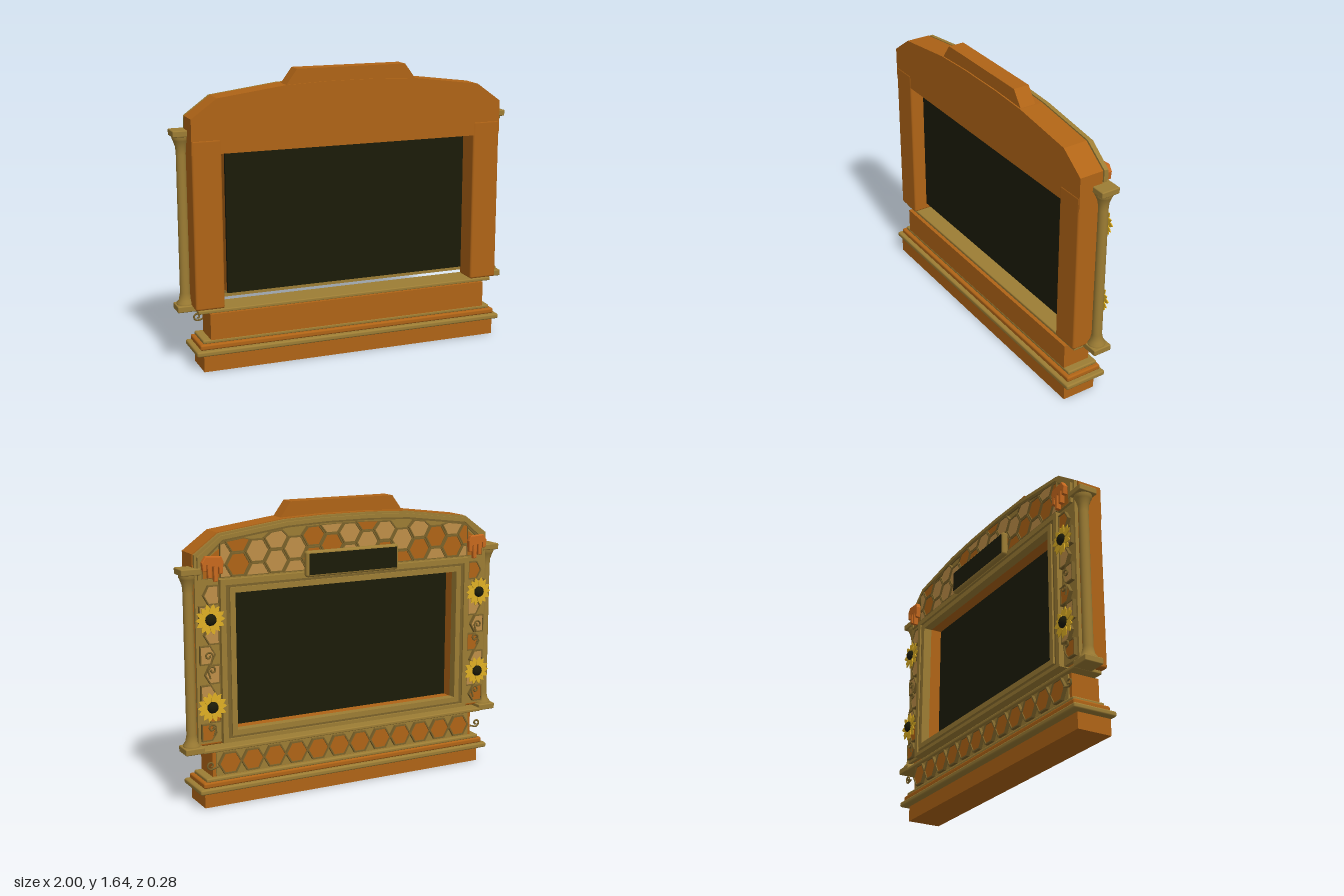
import * as THREE from 'three';
import { RoundedBoxGeometry } from 'three/addons/geometries/RoundedBoxGeometry.js';

const mat = (name, color) => {
  const m = new THREE.MeshStandardMaterial({ color });
  m.name = name;
  return m;
};

export function createModel() {
  const root = new THREE.Group();
  const wood = mat('orange wood', 0xb06416);
  const gold = mat('dull gold', 0x9d7d34);
  const darkGold = mat('dark gold', 0x7c632a);
  const honey = mat('pale honey', 0xbf8f48);
  const screenMat = mat('dark screen', 0x1b1b08);
  const petalMat = mat('petal yellow', 0xe0b024);
  const dripMat = mat('drip orange', 0xc8691e);

  const add = (name, geo, m, x = 0, y = 0, z = 0, parent = root) => {
    const mesh = new THREE.Mesh(geo, m);
    mesh.name = name;
    mesh.position.set(x, y, z);
    parent.add(mesh);
    return mesh;
  };
  // Box given by its limits
  const box = (name, m, x0, x1, y0, y1, z0, z1, r = 0) => {
    const s = [x1 - x0, y1 - y0, z1 - z0];
    const g = r ? new RoundedBoxGeometry(...s, 2, r) : new THREE.BoxGeometry(...s);
    return add(name, g, m, (x0 + x1) / 2, (y0 + y1) / 2, (z0 + z1) / 2);
  };
  const poly = (pts) => new THREE.Shape(pts.map((p) => new THREE.Vector2(p[0], p[1])));
  const slab = (name, shape, m, z0, z1) =>
    add(name, new THREE.ExtrudeGeometry(shape, { depth: z1 - z0, bevelEnabled: false }), m, 0, 0, z0);
  const rect = (w, y0, y1) => [[-w, y0], [w, y0], [w, y1], [-w, y1]];
  const ring = (name, m, outer, inner, z0, z1) => {
    const s = poly(outer);
    s.holes.push(poly(inner));
    return slab(name, s, m, z0, z1);
  };

  // Stepped base
  box('plinth', wood, -0.89, 0.89, 0, 0.095, -0.07, 0.13);
  box('lowerMoulding', gold, -0.93, 0.93, 0.09, 0.12, -0.115, 0.14, 0.01);
  box('middleMoulding', wood, -0.905, 0.905, 0.12, 0.152, -0.1, 0.12, 0.01);
  box('upperMoulding', gold, -0.885, 0.885, 0.15, 0.172, -0.09, 0.1, 0.008);
  box('baseBlock', wood, -0.84, 0.84, 0.17, 0.318, -0.065, 0.1);
  box('sill', gold, -0.9, 0.9, 0.316, 0.336, -0.09, 0.08, 0.006);

  // Cabinet with arched head and crown
  const arch = [[0.92, 1.405], [0.775, 1.51], [0.39, 1.56], [0.15, 1.57]];
  const archLine = (inset) => [
    ...arch.map(([x, y]) => [x - (x > 0.9 ? inset : inset * 0.4), y - inset]),
    ...arch.map(([x, y]) => [-x + (x > 0.9 ? inset : inset * 0.4), y - inset]).reverse(),
  ];
  slab('archedHead', poly([[-0.92, 1.21], [0.92, 1.21], ...archLine(0)]), wood, -0.04, 0.1);
  slab('crown', poly([[-0.39, 1.55], [0.39, 1.55], [0.32, 1.645], [-0.32, 1.645]]), wood, 0.0, 0.092);
  for (const s of [-1, 1]) {
    const p = box('sidePanel', wood, 0.755, 0.92, 0.345, 1.29, -0.04, 0.102, 0.012);
    p.position.x *= s;
  }

  // Ornate face, back plate and arch border
  const opening = rect(0.72, 0.41, 1.21);
  ring('backPlate', gold, [[-0.92, 0.37], [0.92, 0.37], ...archLine(0.002)], opening, -0.07, -0.05);
  ring('archBorder', gold,
    [[-0.905, 1.27], [0.905, 1.27], ...archLine(0.014)],
    [[-0.885, 1.272], [0.885, 1.272], ...archLine(0.034)], -0.086, -0.07);
  ring('archBead', darkGold,
    [[-0.887, 1.272], [0.887, 1.272], ...archLine(0.032)],
    [[-0.875, 1.275], [0.875, 1.275], ...archLine(0.045)], -0.079, -0.07);
  for (const s of [-1, 1]) {
    const corner = poly([[0.775, 1.275], [0.872, 1.275], [0.872, 1.36], [0.775, 1.43]].map(([x, y]) => [s * x, y]));
    slab('cornerPanel', corner, wood, -0.075, -0.068);
  }

  // Screen, reveal and stepped frame
  box('screen', screenMat, -0.72, 0.72, 0.41, 1.21, 0.02, 0.04);
  ring('reveal', wood, rect(0.719, 0.411, 1.209), rect(0.705, 0.425, 1.195), -0.075, 0.02);
  ring('outerFrame', gold, rect(0.785, 0.365, 1.265), rect(0.755, 0.385, 1.235), -0.1, -0.045);
  ring('middleFrame', darkGold, rect(0.756, 0.384, 1.236), rect(0.73, 0.4, 1.22), -0.09, -0.045);
  ring('innerFrame', gold, rect(0.731, 0.4, 1.22), rect(0.7, 0.43, 1.19), -0.1, -0.05);

  // Honeycomb tiles, trimmed to the field they fill
  const headHeight = (x) => {
    const a = Math.abs(x);
    const pts = [[0.92, 1.405], [0.775, 1.51], [0.39, 1.56], [0, 1.57]];
    for (let i = 0; i < 3; i++) {
      const [xa, ya] = pts[i], [xb, yb] = pts[i + 1];
      if (a >= xb) return ya + ((yb - ya) * (xa - a)) / (xa - xb);
    }
    return 1.57;
  };
  let seed = 7;
  const rand = () => (seed = (seed * 16807) % 2147483647) / 2147483647;
  const tile = (cx, cy, r, paleShare, [x0, x1, y0, top]) => {
    const pts = [];
    for (let i = 0; i < 6; i++) {
      const a = (i * Math.PI) / 3;
      const x = THREE.MathUtils.clamp(cx + r * Math.cos(a), x0, x1);
      pts.push([x, THREE.MathUtils.clamp(cy + r * Math.sin(a), y0, top(x))]);
    }
    const size = (k) => Math.max(...pts.map((p) => p[k])) - Math.min(...pts.map((p) => p[k]));
    const face = rand() < paleShare ? honey : wood;
    if (size(0) < 0.05 || size(1) < 0.05) return;
    const mx = pts.reduce((s, p) => s + p[0], 0) / 6, my = pts.reduce((s, p) => s + p[1], 0) / 6;
    const scaled = (k) => pts.map(([x, y]) => [mx + (x - mx) * k, my + (y - my) * k]);
    ring('honeycombRim', darkGold, scaled(0.98), scaled(0.85), -0.09, -0.07);
    slab('honeycombTile', poly(scaled(0.84)), face, -0.085, -0.07);
  };
  const headField = [-0.78, 0.78, 1.275, (x) => headHeight(x) - 0.047];
  const r = 0.075;
  for (let c = -7; c <= 7; c++) {
    for (let j = 0; j < 3; j++) {
      tile(c * 1.5 * r, 1.21 + (j + (c & 1) / 2) * Math.sqrt(3) * r, r, 0.68, headField);
    }
  }
  for (const s of [-1, 1]) {
    const lim = s > 0 ? [0.79, 0.905, 0.385, () => 1.26] : [-0.905, -0.79, 0.385, () => 1.26];
    for (let j = 0; j < 8; j++) {
      tile(s * (j % 2 ? 0.82 : 0.875), 0.43 + j * 0.108, 0.062, 0.5, lim);
    }
  }
  box('lowerTileBacking', gold, -0.82, 0.82, 0.175, 0.316, -0.072, -0.064);
  for (let i = 0; i < 12; i++) {
    tile(-0.7425 + i * 0.135, 0.246, 0.072, 0.15, [-0.83, 0.83, 0.175, () => 0.315]);
  }

  // Plaque over the screen
  box('plaqueFrame', gold, -0.29, 0.29, 1.24, 1.385, -0.13, -0.09, 0.015);
  box('plaqueFace', screenMat, -0.275, 0.275, 1.254, 1.371, -0.133, -0.125);

  // Columns, sunflowers, drips and tendrils, mirrored
  const shaft = new THREE.LatheGeometry(
    [[0.048, 0.35], [0.048, 0.365], [0.036, 0.38], [0.028, 0.42], [0.027, 1.2], [0.03, 1.24],
      [0.042, 1.275], [0.048, 1.285], [0.048, 1.305]].map((p) => new THREE.Vector2(...p)), 20);
  const petalShape = new THREE.Shape();
  petalShape.moveTo(0.02, -0.008);
  petalShape.quadraticCurveTo(0.056, -0.026, 0.084, 0);
  petalShape.quadraticCurveTo(0.056, 0.026, 0.02, 0.008);
  const petal = new THREE.ExtrudeGeometry(petalShape, { depth: 0.005, bevelEnabled: false, curveSegments: 4 });
  const dripShape = poly([[-0.06, 0.05], [-0.05, 0.075], [0.035, 0.08], [0.055, 0.05], [0.05, 0.01], [0.038, 0.01],
    [0.035, 0.04], [0.025, 0.038], [0.021, -0.03], [0.008, -0.03], [0.005, 0.03], [-0.01, 0.028],
    [-0.013, -0.05], [-0.026, -0.05], [-0.029, 0.025], [-0.04, 0.028], [-0.043, -0.01], [-0.055, -0.01]]);
  const drip = new THREE.ExtrudeGeometry(dripShape,
    { depth: 0.016, bevelThickness: 0.006, bevelSize: 0.004, bevelSegments: 2 });
  const spiral = [new THREE.Vector3(0.012, -0.045, 0)];
  for (let i = 0; i <= 14; i++) {
    const a = i * 0.5, rad = 0.023 - i * 0.0012;
    spiral.push(new THREE.Vector3(rad * Math.cos(a), rad * Math.sin(a), 0));
  }
  const tendril = new THREE.TubeGeometry(new THREE.CatmullRomCurve3(spiral), 32, 0.0055, 5);

  for (const s of [-1, 1]) {
    for (const y of [0.337, 1.316]) {
      const b = box('columnBlock', gold, 0.89, 1, y - 0.018, y + 0.018, -0.09, 0.02, 0.006);
      b.position.x *= s;
    }
    add('columnShaft', shaft, gold, s * 0.945, 0, -0.033);

    for (const y of [0.58, 1.06]) {
      const flower = new THREE.Group();
      flower.name = 'sunflower';
      flower.position.set(s * 0.85, y, -0.108);
      for (let i = 0; i < 14; i++) {
        const p = add('petal', petal, petalMat, 0, 0, i % 2 ? 0 : -0.006, flower);
        p.rotation.z = (i * Math.PI) / 7;
      }
      const core = add('seedHead', new THREE.SphereGeometry(0.032, 14, 8), screenMat, 0, 0, -0.006, flower);
      core.scale.z = 0.7;
      root.add(flower);
    }
    const d = add('honeyDrip', drip, dripMat, s * 0.835, 1.315, -0.113);
    if (s < 0) {
      d.rotation.y = Math.PI;
      d.position.z += 0.016;
    }

    // Curled tendrils beside the flowers, and one lying sideways by the base
    for (const [x, y, k] of [[0.84, 0.78, 1], [0.86, 0.86, -1], [0.85, 0.46, -1]]) {
      const t = add('tendril', tendril, darkGold, s * x, y, -0.097);
      if (s * k < 0) t.rotation.y = Math.PI;
    }
    const low = add('lowTendril', tendril, darkGold, s * 0.862, 0.25, -0.097);
    low.rotation.set(0, s > 0 ? 0 : Math.PI, -Math.PI / 2);
  }
  return root;
}
